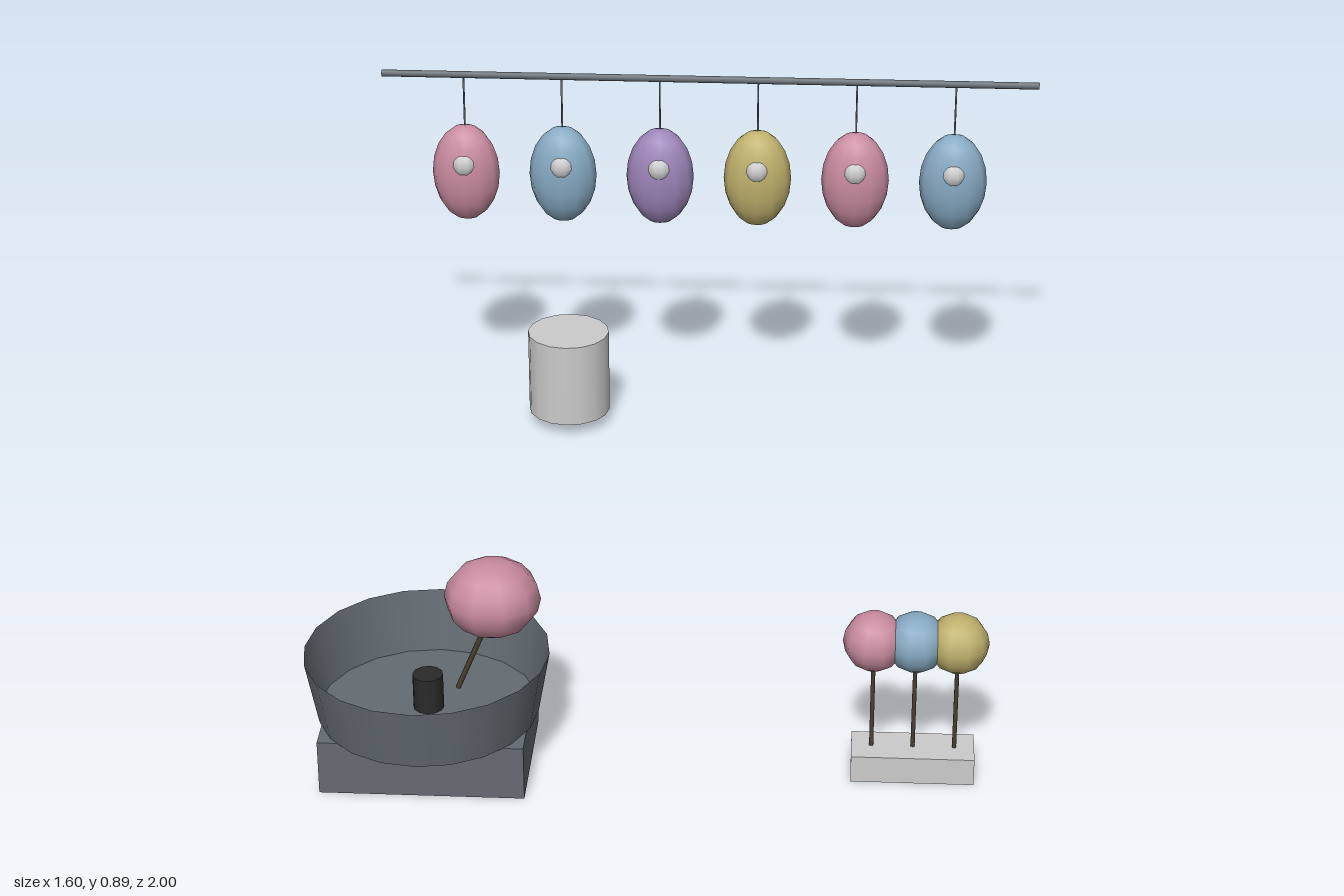
import * as THREE from 'three';

const PINK = 0xc98ba0, BLUE = 0x86a9c2, PURPLE = 0x9c84b8, YELLOW = 0xbfb06c;
const STEEL = 0x636b72, WOOD = 0x4a4030, DARK = 0x2a2a2a, GREY = 0xcccccc;

function add(parent, name, geometry, color, x, y, z, side = THREE.FrontSide) {
  const mesh = new THREE.Mesh(geometry, new THREE.MeshStandardMaterial({ color, side }));
  mesh.name = name;
  mesh.position.set(x, y, z);
  parent.add(mesh);
  return mesh;
}

function ellipsoid(rx, ry, rz, segments, rings) {
  return new THREE.SphereGeometry(1, segments, rings).scale(rx, ry, rz);
}

// Thin rod between two points
function rod(parent, name, a, b, radius, color, sides = 6) {
  const dir = new THREE.Vector3().subVectors(b, a);
  const mesh = add(parent, name, new THREE.CylinderGeometry(radius, radius, dir.length(), sides), color, 0, 0, 0);
  mesh.position.addVectors(a, b).multiplyScalar(0.5);
  mesh.quaternion.setFromUnitVectors(new THREE.Vector3(0, 1, 0), dir.normalize());
  return mesh;
}

const v = (x, y, z) => new THREE.Vector3(x, y, z);

// Floss spinner: box base, open bowl, spindle and one floss on a leaning stick
function spinner() {
  const g = new THREE.Group();
  g.name = 'flossSpinner';
  add(g, 'spinnerBase', new THREE.BoxGeometry(0.425, 0.12, 0.305), STEEL, 0, 0.06, 0);
  add(g, 'bowlWall', new THREE.CylinderGeometry(0.255, 0.23, 0.138, 20, 1, true),
    STEEL, 0, 0.188, 0, THREE.DoubleSide);
  add(g, 'bowlFloor', new THREE.CircleGeometry(0.23, 20).rotateX(-Math.PI / 2).rotateY(Math.PI / 2),
    STEEL, 0, 0.122, 0, THREE.DoubleSide);
  add(g, 'spindle', new THREE.CylinderGeometry(0.032, 0.032, 0.08, 12), DARK, 0, 0.16, 0);
  rod(g, 'flossStick', v(0.063, 0.17, 0), v(0.145, 0.37, 0), 0.006, WOOD);
  add(g, 'spunFloss', ellipsoid(0.1, 0.083, 0.095, 10, 8), PINK, 0.14, 0.388, 0);
  g.position.set(-0.498, 0, 0.745);
  return g;
}

// Counter stand with three floss balls on sticks
function stand() {
  const g = new THREE.Group();
  g.name = 'flossStand';
  add(g, 'standBlock', new THREE.BoxGeometry(0.255, 0.06, 0.1), GREY, 0, 0.03, 0);
  [PINK, BLUE, YELLOW].forEach((color, i) => {
    const x = (i - 1) * 0.086;
    rod(g, 'standStick', v(x, 0.05, 0), v(x, 0.31, 0), 0.005, WOOD);
    add(g, 'standFloss', ellipsoid(0.064, 0.064, 0.064, 10, 8), color, x, 0.31, 0);
  });
  g.position.set(0.511, 0, 0.745);
  return g;
}

// Rail with hanging bags, each with a pale badge on its front
function bagRail() {
  const g = new THREE.Group();
  g.name = 'bagRail';
  rod(g, 'rail', v(-0.8, 0.88, 0), v(0.8, 0.88, 0), 0.009, STEEL, 8);
  [PINK, BLUE, PURPLE, YELLOW, PINK, BLUE].forEach((color, i) => {
    const x = -0.6 + i * 0.24;
    rod(g, 'bagString', v(x, 0.74, 0), v(x, 0.88, 0), 0.0025, STEEL);
    add(g, 'bag', ellipsoid(0.083, 0.125, 0.058, 12, 10), color, x, 0.625, 0);
    add(g, 'bagBadge', ellipsoid(0.032, 0.034, 0.032, 10, 8), GREY, x, 0.658, 0.032);
  });
  g.position.z = -0.943;
  return g;
}

export function createModel() {
  const model = new THREE.Group();
  model.name = 'flossStall';
  model.add(spinner(), stand(), bagRail());
  add(model, 'drum', new THREE.CylinderGeometry(0.101, 0.101, 0.212, 16), GREY, -0.344, 0.137, -0.842);
  return model;
}
